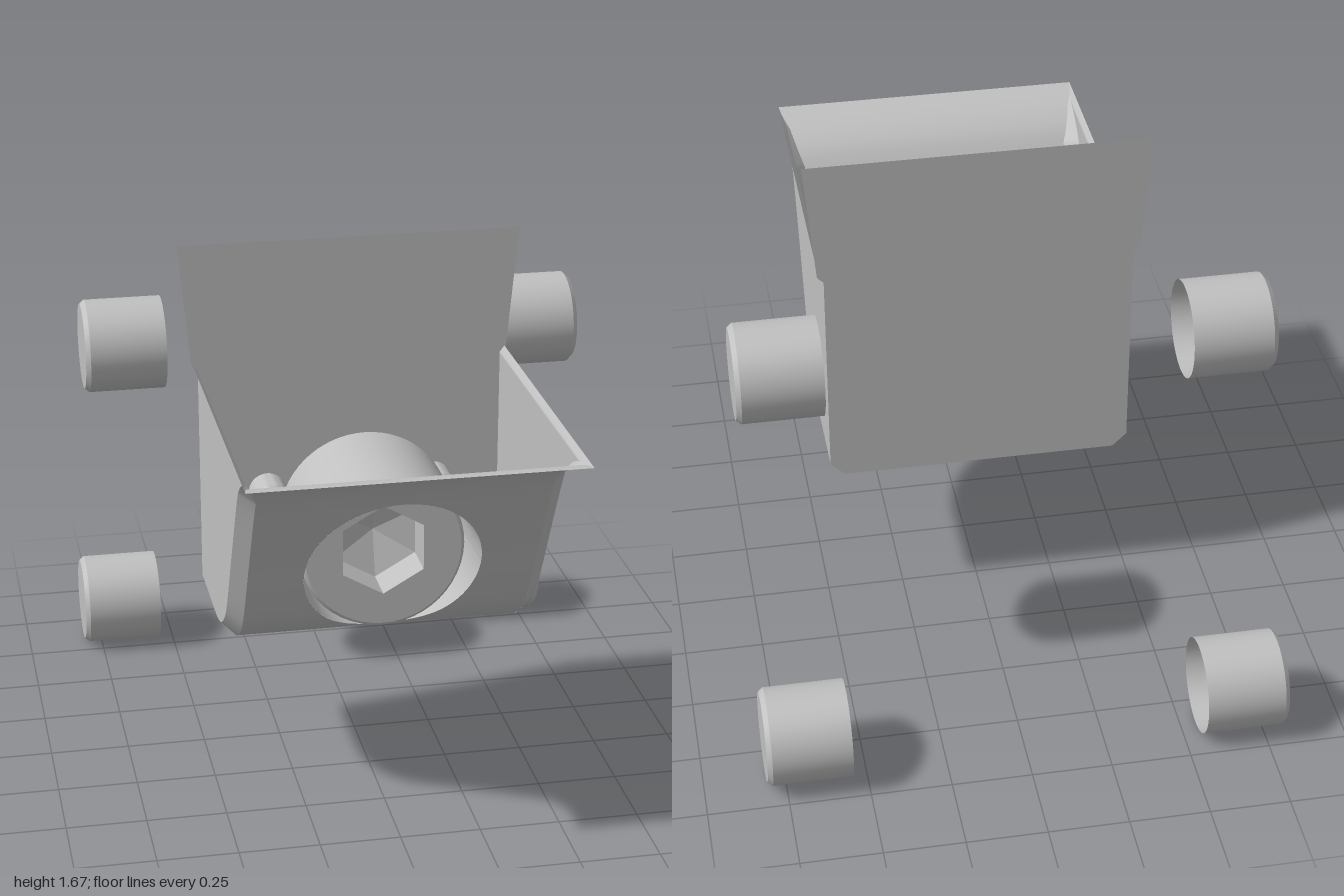
import * as THREE from 'three';
import { toCreasedNormals } from 'three/addons/utils/BufferGeometryUtils.js';

const BACK = -0.065, CY = 0.84, BORE = 0.27;

// surface from a rule (u, v) -> [x, y, z]
function surface(rule, nu, nv) {
  const g = new THREE.PlaneGeometry(1, 1, nu, nv);
  const p = g.attributes.position, uv = g.attributes.uv;
  for (let i = 0; i < p.count; i++) p.setXYZ(i, ...rule(uv.getX(i), uv.getY(i)));
  g.computeVertexNormals();
  return g;
}

// turned part: profile of [radius, height] pairs
function turned(profile, segments = 48) {
  const g = new THREE.LatheGeometry(profile.map(p => new THREE.Vector2(...p)), segments);
  return toCreasedNormals(g, 0.5);
}

export function createModel() {
  const model = new THREE.Group();
  const grey = new THREE.MeshStandardMaterial({ color: 0xc0c0c0, side: THREE.DoubleSide });
  grey.name = 'plain grey';
  const add = (name, geometry) => {
    const mesh = new THREE.Mesh(geometry, grey);
    mesh.name = name;
    model.add(mesh);
    return mesh;
  };

  // front profile (z, y) from the lip down to the back of the floor
  const profile = new THREE.SplineCurve([
    [1, 1.28], [0.95, 1.27], [0.89, 1.245], [0.835, 1.205], [0.79, 1.15], [0.745, 1.08], [0.65, 0.91],
    [0.56, 0.745], [0.515, 0.67], [0.475, 0.62], [0.42, 0.575], [0.36, 0.543], [0.29, 0.525], [0.22, 0.52],
    [0.08, 0.52], [BACK, 0.52],
  ].map(p => new THREE.Vector2(...p)));
  const N = 90;
  const stations = profile.getPoints(N).map((p, i) => {
    const t = profile.getTangent(i / N);
    const y = Math.min(1.28, Math.max(0.52, p.y));
    const bevel = 0.045 * Math.min(1, Math.max(0, (1.28 - y) / 0.12));
    const half = 0.485 + 0.015 * Math.max(0, (y - 1.25) / 0.03);
    return { z: p.x, y, rail: half - bevel, half, sideZ: Math.max(BACK, p.x + t.y * bevel), sideY: y - t.x * bevel };
  });
  const at = v => stations[Math.round(v * N)];

  // depth of the front wall at a height
  const wallZ = y => {
    const i = Math.max(1, stations.findIndex(s => s.y <= y));
    const a = stations[i - 1], b = stations[i];
    return a.z + (b.z - a.z) * (a.y - y) / (a.y - b.y || 1);
  };

  // lip and floor, above and below the pierced panel
  const iTop = stations.findIndex(s => s.y < 1.155);
  const iBottom = stations.findIndex(s => s.y < 0.548);
  for (const [name, from, to] of [['lip', 0, iTop], ['floor', iBottom, N]]) {
    add(name, surface((u, v) => {
      const s = stations[from + Math.round(v * (to - from))];
      return [s.rail * (2 * u - 1), s.y, s.z];
    }, 8, to - from));
  }

  // front panel with the round opening
  const yTop = stations[iTop].y, yBottom = stations[iBottom].y;
  add('frontPanel', surface((u, v) => {
    const k = (u % 1) * 4, side = Math.floor(k), f = 2 * (k - side) - 1;
    const [sx, sy] = [[1, f], [-f, 1], [-1, -f], [f, -1]][side];
    const ox = 0.44 * sx, oy = (yTop + yBottom) / 2 + sy * (yTop - yBottom) / 2;
    const a = Math.atan2(oy - CY, ox);
    const x = THREE.MathUtils.lerp(BORE * Math.cos(a), ox, v);
    const y = THREE.MathUtils.lerp(CY + BORE * Math.sin(a), oy, v);
    return [x, y, wallZ(y)];
  }, 112, 12));

  // bevelled edges and side walls
  for (const s of [-1, 1]) {
    const label = s > 0 ? 'left' : 'right';
    add(label + 'Bevel', surface((u, v) => {
      const q = at(v);
      return u < 0.5 ? [s * q.rail, q.y, q.z] : [s * q.half, q.sideY, q.sideZ];
    }, 1, N));
    add(label + 'Wall', surface((u, v) => {
      const q = at(v);
      return [s * q.half, q.sideY, THREE.MathUtils.lerp(q.sideZ, BACK, u)];
    }, 1, N));
  }

  // tall back plate
  const edge = [[0.44, 0.52], [0.485, 0.565], [0.485, 1.26], [0.505, 1.28], [0.54, 1.67]];
  const outline = [...edge, ...edge.map(([x, y]) => [-x, y]).reverse()];
  add('backPlate', new THREE.ShapeGeometry(new THREE.Shape(outline.map(p => new THREE.Vector2(...p)))))
    .position.z = BACK;

  // counterbore sleeve trimmed to the front wall
  add('boreSleeve', surface((u, v) => {
    const a = u * Math.PI * 2, y = CY + BORE * Math.sin(a);
    return [BORE * Math.cos(a), y, THREE.MathUtils.lerp(0.17, wallZ(y), v)];
  }, 64, 4));
  const turnedAlongZ = (name, points, x = 0) => {
    const mesh = add(name, turned(points));
    mesh.rotation.x = Math.PI / 2;
    mesh.position.set(x, CY, 0);
  };
  turnedAlongZ('boreSeat', [[0.15, 0.17], [BORE, 0.17]]);

  // bolt: shank, head and hexagonal socket
  turnedAlongZ('boltShank', [[0.15, BACK], [0.15, 0.17]]);
  turnedAlongZ('boltHead', [[0.255, 0.17], [0.255, 0.455], [0.251, 0.465], [0.243, 0.47]]);
  const face = new THREE.Shape().absarc(0, 0, 0.243, 0, Math.PI * 2);
  const hex = [];
  for (let i = 0; i < 6; i++) {
    const a = Math.PI / 2 + i * Math.PI / 3;
    hex.push(new THREE.Vector2(0.145 * Math.cos(a), 0.145 * Math.sin(a)));
  }
  face.holes.push(new THREE.Path(hex));
  add('boltFace', new THREE.ShapeGeometry(face, 32)).position.set(0, CY, 0.47);
  const socket = add('boltSocket', new THREE.LatheGeometry(
    [[0, 0.3], [0.145, 0.34], [0.145, 0.47]].map(p => new THREE.Vector2(...p)), 6));
  socket.geometry = toCreasedNormals(socket.geometry, 0.3);
  socket.rotation.x = Math.PI / 2;
  socket.position.y = CY;

  for (const s of [-1, 1]) {
    // small blind sockets behind the bolt
    turnedAlongZ('blindSocket', [[0.06, BACK], [0.06, 0.035], [0.053, 0.046], [0.035, 0.053], [0, 0.057]], s * 0.27);

    // hollow side pins, open towards the middle
    for (const [name, y, z] of [['upperPin', 1.23, -0.455], ['lowerPin', 0.152, -0.85]]) {
      const pin = add(name, turned([[0.15, 0], [0.15, 0.245], [0.137, 0.26], [0, 0.26]]));
      pin.rotation.z = -s * Math.PI / 2;
      pin.position.set(s * 0.55, y, z);
    }
  }
  return model;
}
